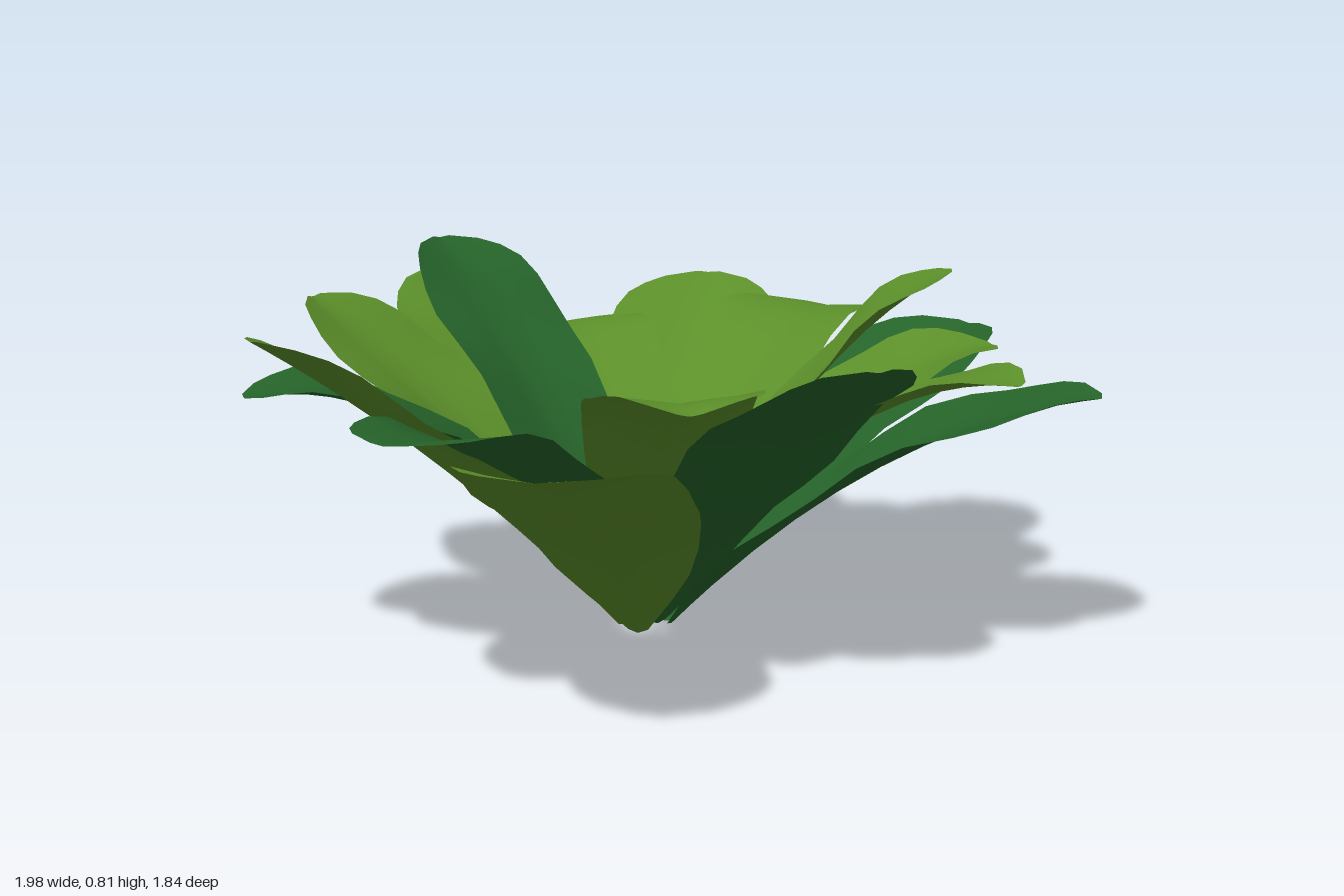
import * as THREE from 'three';

// Each leaf, outermost first: heading in degrees (0 = +x, 90 = +z),
// reach from the centre, tip height, height of the arch control point.
const LEAVES = [
  [0, 1.07, 0.572, 0.45], [141.5, 1.05, 0.575, 0.45], [-80, 1.0, 0.69, 0.42], [54.5, 0.98, 0.565, 0.50],
  [187, 0.92, 0.735, 0.47], [-38.5, 0.925, 0.67, 0.48], [100.5, 0.86, 0.715, 0.48], [-115, 0.83, 0.695, 0.46],
  [25, 0.825, 0.60, 0.58], [162, 0.93, 0.59, 0.58], [-65, 0.935, 0.51, 0.75], [71, 0.865, 0.63, 0.63],
  [-154.5, 0.86, 0.57, 0.62], [-13.5, 0.81, 0.62, 0.72], [124.5, 0.755, 0.635, 0.70], [-92, 0.70, 0.81, 0.60],
  [47, 0.66, 0.81, 0.66],
];

// Blade outline: [position along the leaf, share of the half-width]
const OUTLINE = [
  [0, 0.1], [0.05, 0.27], [0.1, 0.42], [0.2, 0.65], [0.3, 0.8], [0.4, 0.89], [0.5, 0.95], [0.6, 0.99],
  [0.7, 1], [0.78, 0.95], [0.85, 0.86], [0.91, 0.71], [0.96, 0.5], [1, 0.14],
];
const ACROSS = 6;        // strips across the blade
const HOLE_RADIUS = 0.065;

// Arched blade along +x, folded up from the midrib (most at the base) with rippled edges
function leafGeometry(reach, tipY, archY, halfWidth, baseY, phase) {
  const positions = [];
  const index = [];
  for (const [t, share] of OUTLINE) {
    const x = HOLE_RADIUS + (reach - HOLE_RADIUS) * t;
    const y = baseY * (1 - t) ** 2 + 2 * t * (1 - t) * archY + t * t * tipY;
    const slope = 2 * ((1 - t) * (archY - baseY) + t * (tipY - archY)) / (reach - HOLE_RADIUS);
    const len = Math.hypot(1, slope);
    const fold = 0.14 + 0.2 * (1 - t) ** 2;
    for (let j = 0; j <= ACROSS; j++) {
      const s = (j / ACROSS) * 2 - 1;
      const half = halfWidth * share;
      const ripple = 0.012 * s * s * share * Math.sin(t * 15 + phase + (s > 0 ? 0.8 : 0));
      const lift = fold * Math.abs(s) * half + ripple;
      positions.push(x - (lift * slope) / len, y + lift / len, s * half);
    }
  }
  const row = ACROSS + 1;
  for (let i = 0; i < OUTLINE.length - 1; i++) {
    for (let j = 0; j < ACROSS; j++) {
      const a = i * row + j;
      index.push(a, a + 1, a + row, a + 1, a + row + 1, a + row);
    }
  }
  const geometry = new THREE.BufferGeometry();
  geometry.setAttribute('position', new THREE.Float32BufferAttribute(positions, 3));
  geometry.setIndex(index);
  geometry.computeVertexNormals();
  return geometry;
}

export function createModel() {
  const lightGreen = new THREE.MeshStandardMaterial({ color: 0x5c902a, side: THREE.DoubleSide });
  lightGreen.name = 'light leaf green';
  const darkGreen = new THREE.MeshStandardMaterial({ color: 0x26642a, side: THREE.DoubleSide });
  darkGreen.name = 'dark leaf green';

  const model = new THREE.Group();
  model.name = 'leafRosette';
  const rosette = new THREE.Group();
  rosette.name = 'leaves';
  rosette.position.set(-0.08, 0, 0.07);
  model.add(rosette);

  // Spiral of leaves; every third one is dark
  LEAVES.forEach(([heading, reach, tipY, archY], k) => {
    const halfWidth = 0.225 - 0.0034 * k;
    const geometry = leafGeometry(reach, tipY, archY, halfWidth, 0.005 + 0.004 * k, k * 1.7);
    const leaf = new THREE.Mesh(geometry, k % 3 === 0 ? darkGreen : lightGreen);
    leaf.name = `leaf${k + 1}`;
    leaf.rotation.y = -THREE.MathUtils.degToRad(heading);
    rosette.add(leaf);
  });
  return model;
}
